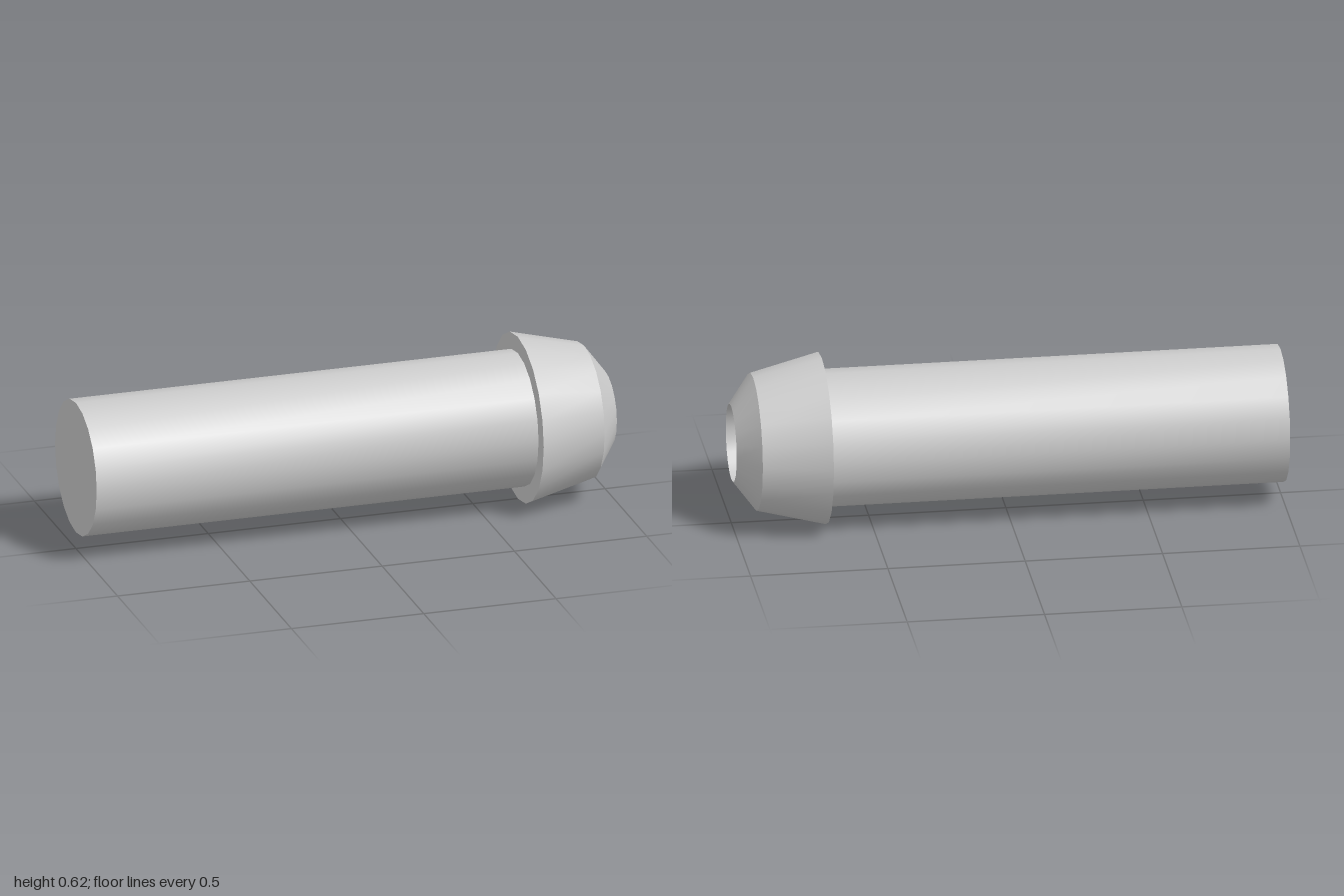
import * as THREE from 'three';
import { toCreasedNormals } from 'three/addons/utils/BufferGeometryUtils.js';

const SIDES = 20;
const RADIUS = 0.3125; // widest radius, at the shoulder of the head

// Turned part lying along x; profile is a list of [radius, x]
function turned(name, profile, material) {
  const points = profile.map(([r, x]) => new THREE.Vector2(r, x));
  const lathe = new THREE.LatheGeometry(points, SIDES);
  lathe.rotateZ(-Math.PI / 2);
  const mesh = new THREE.Mesh(toCreasedNormals(lathe, 0.4), material);
  mesh.name = name;
  mesh.position.y = RADIUS;
  return mesh;
}

export function createModel() {
  const group = new THREE.Group();
  group.name = 'barbedPin';
  const material = new THREE.MeshStandardMaterial({ color: 0xcccccc });

  // Long round shaft with a flat closed end
  group.add(turned('shaft', [[0, -1], [0.25, -1], [0.25, 0.67]], material));

  // Flared head: flat shoulder, taper, chamfered nose and blind bore
  group.add(turned('head', [
    [0.25, 0.67], [RADIUS, 0.67], [0.25, 0.92],
    [0.142, 1], [0.142, 0.84], [0, 0.84],
  ], material));

  return group;
}
